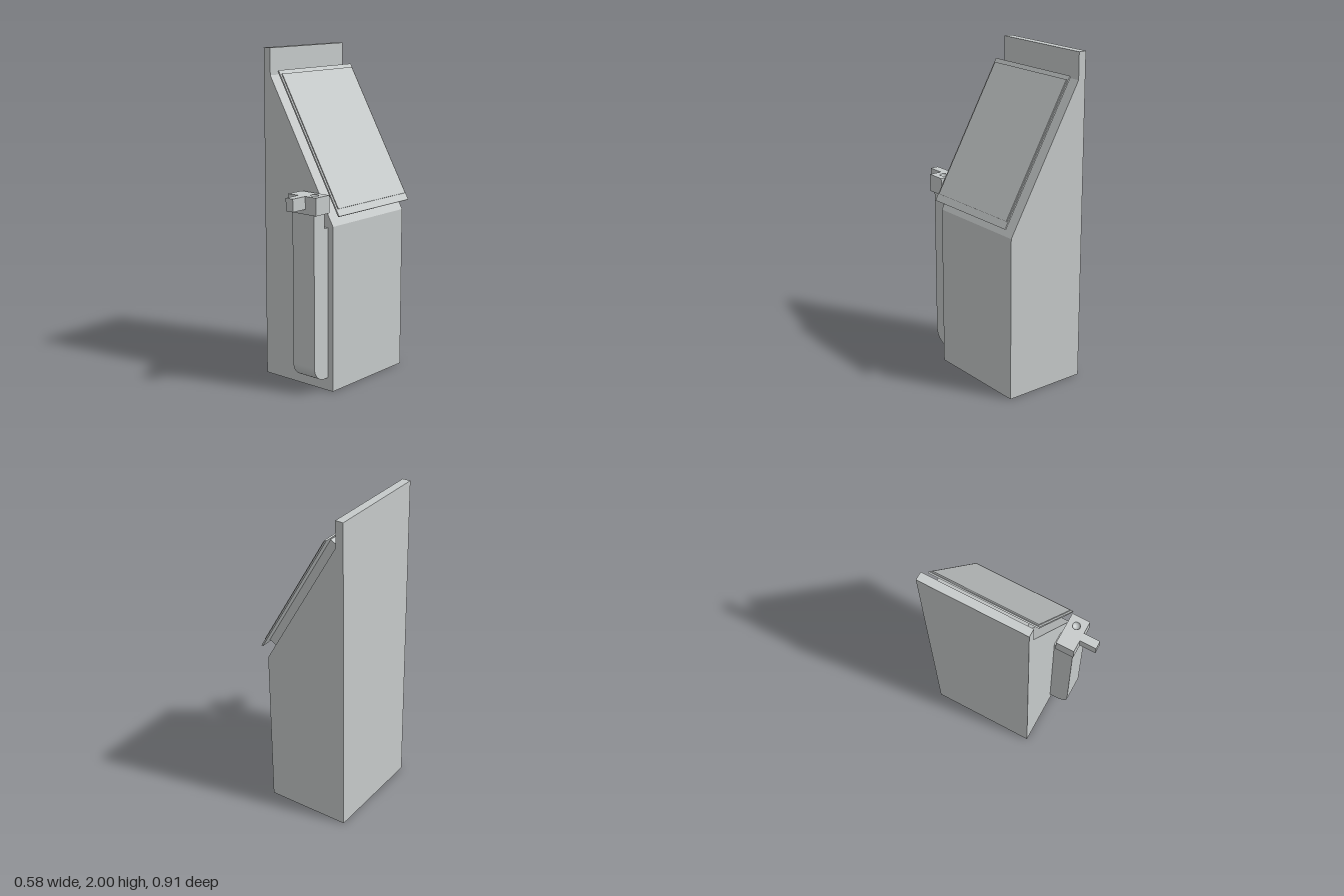
import * as THREE from 'three';

export function createModel() {
  const model = new THREE.Group();
  const grey = new THREE.MeshStandardMaterial({ color: 0xc6caca, side: THREE.DoubleSide });
  grey.name = 'light grey plastic';

  const add = (name, geometry, parent = model) => {
    const mesh = new THREE.Mesh(geometry, grey);
    mesh.name = name;
    parent.add(mesh);
    return mesh;
  };
  // Box from its minimum and maximum on each axis
  const block = (name, [x0, x1], [y0, y1], [z0, z1], parent = model) =>
    add(name, new THREE.BoxGeometry(x1 - x0, y1 - y0, z1 - z0)
      .translate((x0 + x1) / 2, (y0 + y1) / 2, (z0 + z1) / 2), parent);
  const polygon = (points) => new THREE.Shape(points.map(([x, y]) => new THREE.Vector2(x, y)));

  // Housing: upright back plate, sloping upper face, straight lower part
  const zBack = -0.455, zFront = 0.211;
  const housing = polygon([[-0.29, 0], [0.24, 0], [0.24, 1], [-0.24, 1.84], [-0.24, 2], [-0.29, 2]]);
  add('housing', new THREE.ExtrudeGeometry(housing, { depth: zFront - zBack, bevelEnabled: false })
    .translate(0, 0, zBack));

  // Sloping lid: local x points out of the slope, local y runs up it
  const lid = new THREE.Group();
  lid.name = 'lid';
  lid.position.set(-0.24, 1.84, 0);
  lid.rotation.z = Math.atan2(0.48, 0.84);
  model.add(lid);
  block('lidGasket', [-0.002, 0.016], [-0.86, -0.04], [-0.38, 0.13], lid);
  block('lidTray', [0.014, 0.064], [-0.907, -0.024], [-0.4, 0.15], lid);
  block('lidSheet', [0.064, 0.073], [-0.932, -0.004], [zBack, zFront], lid);
  block('lidPanel', [0.073, 0.079], [-0.888, -0.03], [-0.445, 0.198], lid);

  // Side tank: profile in z and y with a rounded lower outer corner and a step at the top
  const tank = new THREE.Shape();
  tank.moveTo(0.205, 0.08);
  tank.lineTo(0.245, 0.08);
  tank.absarc(0.245, 0.17, 0.09, -Math.PI / 2, 0, false);
  tank.lineTo(0.335, 1.085);
  tank.lineTo(0.245, 1.085);
  tank.lineTo(0.245, 0.99);
  tank.lineTo(0.205, 0.99);
  add('sideTank', new THREE.ExtrudeGeometry(tank, { depth: 0.164, bevelEnabled: false, curveSegments: 10 })
    .rotateY(-Math.PI / 2).translate(0.204, 0, 0));
  block('tankBracket', [0.04, 0.125], [0.985, 1.08], [0.205, 0.25]);

  // Tank cap, drawn from above with a round opening
  const cap = polygon([[0.018, -0.347], [0.228, -0.347], [0.228, -0.23], [0.018, -0.23]]);
  const opening = new THREE.Path();
  opening.absarc(0.168, -0.287, 0.024, 0, Math.PI * 2, true);
  cap.holes.push(opening);
  add('tankCap', new THREE.ExtrudeGeometry(cap, { depth: 0.105, bevelEnabled: false, curveSegments: 16 })
    .rotateX(-Math.PI / 2).translate(0, 1.082, 0));
  add('capDimple', new THREE.SphereGeometry(0.024, 24, 10, 0, Math.PI * 2, Math.PI / 2, Math.PI / 2)
    .translate(0.168, 1.186, 0.287));
  block('capSpout', [0.095, 0.148], [1.112, 1.187], [0.34, 0.453]);

  return model;
}
